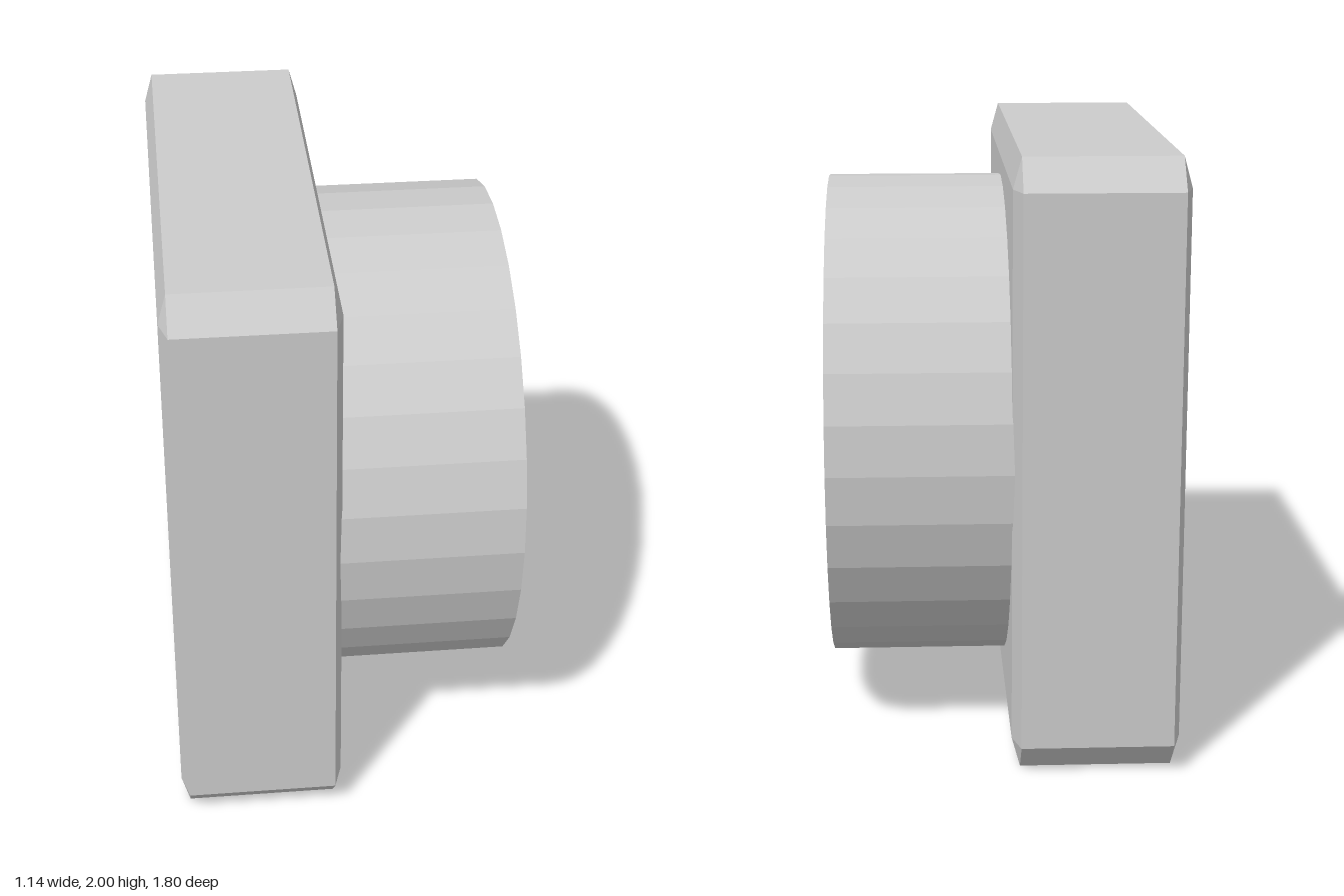
import * as THREE from 'three';
import { ConvexGeometry } from 'three/addons/geometries/ConvexGeometry.js';

const material = new THREE.MeshStandardMaterial({ color: 0xcccccc, flatShading: true });

function part(name, geometry, parent) {
  const mesh = new THREE.Mesh(geometry, material);
  mesh.name = name;
  parent.add(mesh);
  return mesh;
}

// Closed profile of [radius, x] points turned around the x axis
function turned(points, sides) {
  const profile = points.map(([r, x]) => new THREE.Vector2(r, x));
  return new THREE.LatheGeometry(profile, sides).rotateZ(-Math.PI / 2);
}

// Box with its edges cut by the same fraction of each half size
function bevelledBox(hx, hy, hz, cut) {
  const points = [];
  const k = 1 - cut;
  for (const sx of [-1, 1]) for (const sy of [-1, 1]) for (const sz of [-1, 1]) {
    const x = sx * hx, y = sy * hy, z = sz * hz;
    points.push(
      new THREE.Vector3(x, y * k, z * k),
      new THREE.Vector3(x * k, y, z * k),
      new THREE.Vector3(x * k, y * k, z),
    );
  }
  return new ConvexGeometry(points);
}

export function createModel() {
  const model = new THREE.Group();
  model.name = 'wallFan';

  // Square housing
  part('housing', bevelledBox(0.275, 1, 0.9, 0.1), model).position.set(-0.295, 1, 0);

  // Everything round shares one axis at y = 1
  const round = new THREE.Group();
  round.name = 'fanAssembly';
  round.position.y = 1;
  model.add(round);

  // Duct with a rim that dips slightly inwards
  part('duct', turned([[0.835, -0.06], [0.835, 0.57], [0.73, 0.545], [0.73, -0.06]], 32), round);

  // Hub with a bevelled nose
  part('hub', turned([[0.25, -0.04], [0.25, 0.34], [0.19, 0.37], [0, 0.37]], 32), round);

  // Two blades at right angles
  for (const angle of [30, 120]) {
    const pivot = new THREE.Group();
    pivot.name = 'bladePivot';
    pivot.rotation.x = -THREE.MathUtils.degToRad(angle);
    round.add(pivot);
    part('blade', new THREE.BoxGeometry(0.16, 0.19, 0.46), pivot).position.set(0.26, 0, 0.46);
  }

  // Grille rings
  for (const radius of [0.063, 0.145, 0.23, 0.348, 0.48, 0.6]) {
    const tube = radius < 0.1 ? 0.008 : 0.014;
    const ring = new THREE.TorusGeometry(radius, tube, 8, radius < 0.2 ? 24 : 20);
    part('grilleRing', ring.rotateY(Math.PI / 2), round).position.x = 0.52;
  }

  // Grille spokes, one to the side and one downwards
  part('sideSpoke', new THREE.BoxGeometry(0.016, 0.016, 0.67), round).position.set(0.51, 0, 0.395);
  part('lowerSpoke', new THREE.BoxGeometry(0.016, 0.67, 0.016), round).position.set(0.51, -0.395, 0);

  return model;
}
